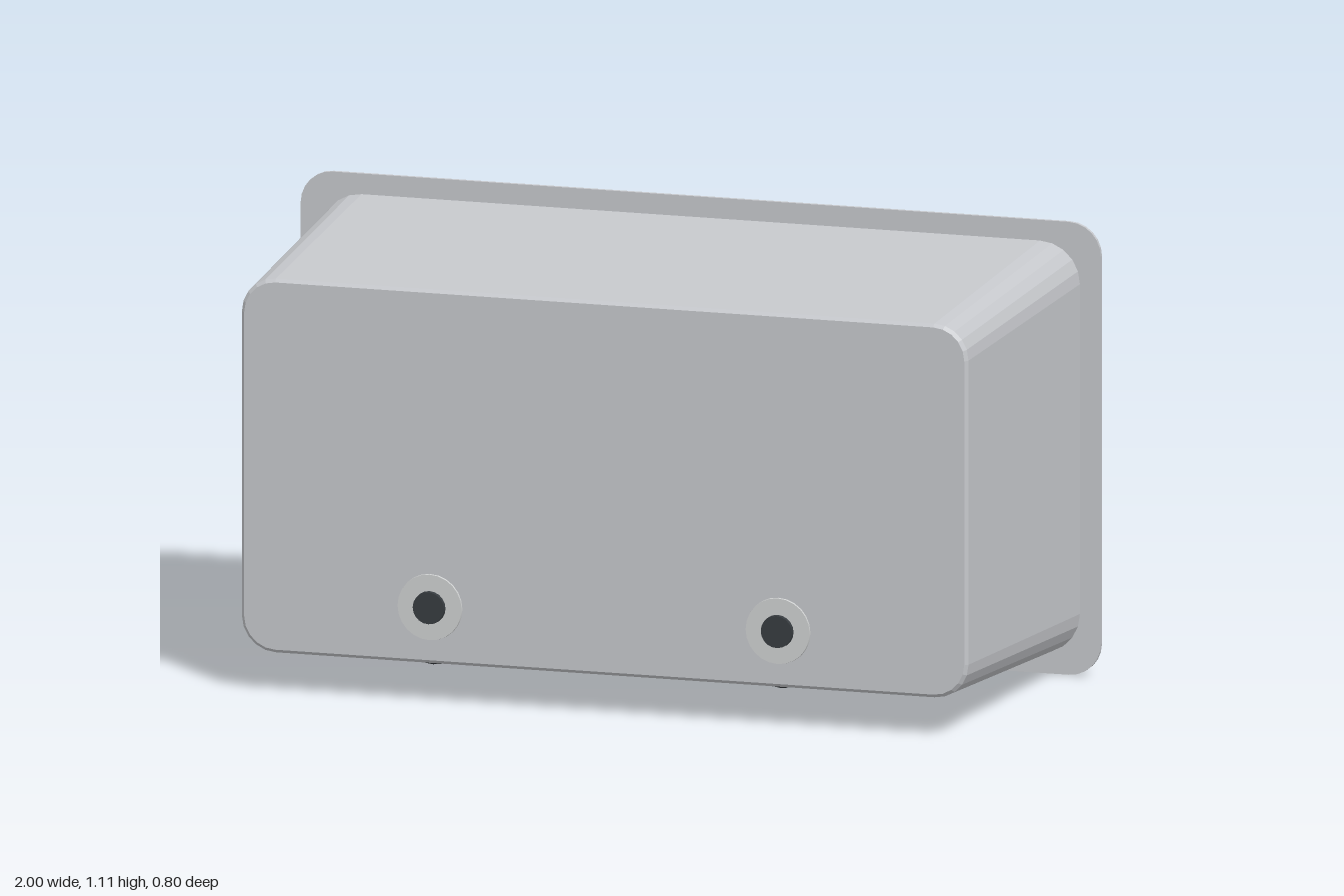
import * as THREE from 'three';
import { toCreasedNormals } from 'three/addons/utils/BufferGeometryUtils.js';
import { RoundedBoxGeometry } from 'three/addons/geometries/RoundedBoxGeometry.js';

const mat = (name, color, extra = {}) => new THREE.MeshStandardMaterial({ name, color, ...extra });

// Counter-clockwise outline of a rounded rectangle, as [a, b] pairs
function roundedOutline(a0, a1, b0, b1, r, steps) {
  const pts = [];
  const centres = [[a1 - r, b1 - r], [a0 + r, b1 - r], [a0 + r, b0 + r], [a1 - r, b0 + r]];
  centres.forEach(([ca, cb], k) => {
    for (let i = 0; i <= steps; i++) {
      const t = (k + i / steps) * Math.PI / 2;
      pts.push([ca + r * Math.cos(t), cb + r * Math.sin(t)]);
    }
  });
  return pts;
}

// Joins matching rings of Vector3 into a faceted skin, with optional end caps
function loft(rings, capStart, capEnd) {
  const pos = [];
  const tri = (a, b, c) => pos.push(...a.toArray(), ...b.toArray(), ...c.toArray());
  const n = rings[0].length;
  for (let k = 0; k < rings.length - 1; k++) {
    const p = rings[k], q = rings[k + 1];
    for (let i = 0; i < n; i++) {
      const j = (i + 1) % n;
      tri(p[i], p[j], q[j]);
      tri(p[i], q[j], q[i]);
    }
  }
  const first = rings[0], last = rings[rings.length - 1];
  for (let i = 1; i < n - 1; i++) {
    if (capStart) tri(first[0], first[i + 1], first[i]);
    if (capEnd) tri(last[0], last[i], last[i + 1]);
  }
  const g = new THREE.BufferGeometry();
  g.setAttribute('position', new THREE.Float32BufferAttribute(pos, 3));
  g.computeVertexNormals();
  return g;
}

function toShape(outline, Type) {
  return new Type(outline.map(([a, b]) => new THREE.Vector2(a, b)));
}

export function createModel() {
  const model = new THREE.Group();
  const shellGrey = mat('shell grey', 0xc6c8cc, { side: THREE.DoubleSide });
  const bodyWhite = mat('body light grey', 0xcfd1d1);
  const black = mat('rubber black', 0x373c40);
  const teal = mat('teal', 0x4fa28c);

  const add = (name, geometry, material, parent = model) => {
    const mesh = new THREE.Mesh(geometry, material);
    mesh.name = name;
    parent.add(mesh);
    return mesh;
  };

  // Tray: tapered walls, a small bevel and a closed front
  const trayRings = [
    [-0.38, 0.948, 0.05, 1.055, 0.1],
    [0.377, 0.908, 0.097, 1.009, 0.085],
    [0.385, 0.9, 0.105, 1.001, 0.078],
  ].map(([z, hx, y0, y1, r]) =>
    roundedOutline(-hx, hx, y0, y1, r, 5).map(([x, y]) => new THREE.Vector3(x, y, z)));
  add('trayShell', loft(trayRings, false, true), shellGrey);

  // Flat flange around the open back
  const flange = toShape(roundedOutline(-1, 1, 0, 1.105, 0.08, 6), THREE.Shape);
  flange.holes.push(toShape(roundedOutline(-0.943, 0.943, 0.055, 1.05, 0.097, 6), THREE.Path));
  add('trayFlange', new THREE.ExtrudeGeometry(flange, { depth: 0.01, bevelEnabled: false }), shellGrey)
    .position.z = -0.386;

  const car = new THREE.Group();
  car.name = 'car';
  model.add(car);

  // Lower body, narrowing and dropping toward both ends
  const bodyRings = [
    [-0.652, 0.215, 0.395], [-0.635, 0.235, 0.405], [-0.25, 0.26, 0.44],
    [0.48, 0.26, 0.435], [0.635, 0.235, 0.41], [0.652, 0.215, 0.4],
  ].map(([x, w, top]) =>
    roundedOutline(0.275, top, -w, w, 0.014, 2).map(([y, z]) => new THREE.Vector3(x, y, z)));
  add('lowerBody', loft(bodyRings, true, true), bodyWhite, car);

  // Cabin, tapering to the roof
  const cabinRings = [
    [0.425, -0.21, 0.52, 0.23], [0.69, -0.135, 0.437, 0.172], [0.7, -0.122, 0.424, 0.16],
  ].map(([y, x0, x1, w]) =>
    roundedOutline(-w, w, x0, x1, 0.012, 2).map(([z, x]) => new THREE.Vector3(x, y, z)));
  add('cabin', loft(cabinRings, true, true), bodyWhite, car);

  // Chassis plate under the body
  add('chassis', new THREE.BoxGeometry(1.22, 0.035, 0.47), teal, car).position.set(0, 0.265, 0);

  // Roof box between two rails
  add('roofBox', new RoundedBoxGeometry(0.555, 0.08, 0.26, 2, 0.014), teal, car)
    .position.set(0.043, 0.775, 0);
  for (const side of [-1, 1]) {
    add('roofRail', new RoundedBoxGeometry(0.745, 0.04, 0.035, 2, 0.01), black, car)
      .position.set(0.038, 0.735, side * 0.168);
    // Bumper at each end
    add('bumper', new RoundedBoxGeometry(0.045, 0.05, 0.56, 2, 0.014), black, car)
      .position.set(side * 0.667, 0.258, 0);
  }

  // Wheels: chamfered tyre, pale rim and dark hub cap
  const tyreProfile = [[0, 0], [0.122, 0], [0.145, 0.02], [0.145, 0.07], [0.124, 0.092], [0, 0.092]]
    .map(([r, h]) => new THREE.Vector2(r, h));
  const tyreGeo = toCreasedNormals(new THREE.LatheGeometry(tyreProfile, 24), 0.5);
  const rimGeo = new THREE.CylinderGeometry(0.08, 0.083, 0.02, 24);
  const hubGeo = new THREE.CylinderGeometry(0.039, 0.042, 0.03, 20);
  for (const x of [-0.435, 0.435]) {
    for (const side of [-1, 1]) {
      const wheel = new THREE.Group();
      wheel.name = 'wheel';
      wheel.position.set(x, 0.235, side * 0.29);
      wheel.rotation.x = side * Math.PI / 2;
      car.add(wheel);
      add('tyre', tyreGeo, black, wheel);
      add('rim', rimGeo, bodyWhite, wheel).position.y = 0.09;
      add('hubCap', hubGeo, black, wheel).position.y = 0.095;
    }
    const axle = add('axle', new THREE.CylinderGeometry(0.025, 0.025, 0.6, 12), black, car);
    axle.rotation.x = Math.PI / 2;
    axle.position.set(x, 0.235, 0);
  }
  return model;
}
